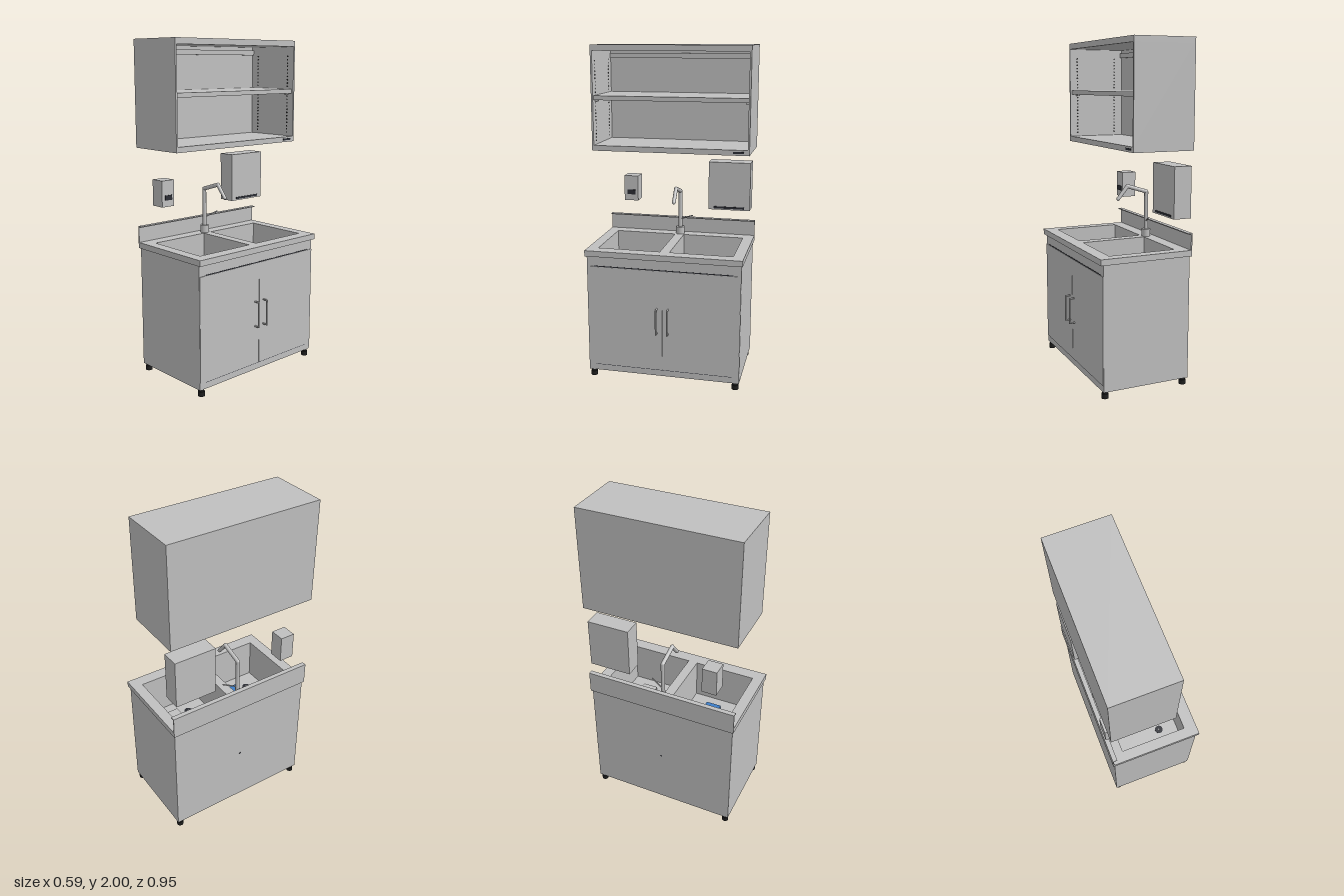
import * as THREE from 'three';

const mat = (name, color, side = THREE.FrontSide) => {
  const m = new THREE.MeshStandardMaterial({ color, side });
  m.name = name;
  return m;
};

export function createModel() {
  const steel = mat('light grey', 0xc0c0c0);
  const dark = mat('charcoal', 0x2a2c33);
  const black = mat('black', 0x1e1e1e);
  const blue = mat('blue', 0x3c7cc6);

  const root = new THREE.Group();
  const group = (name) => {
    const g = new THREE.Group();
    g.name = name;
    root.add(g);
    return g;
  };
  const add = (parent, name, geo, material) => {
    const m = new THREE.Mesh(geo, material);
    m.name = name;
    parent.add(m);
    return m;
  };
  // box given by its limits on each axis
  const box = (parent, name, x0, x1, y0, y1, z0, z1, material = steel) => {
    const m = add(parent, name, new THREE.BoxGeometry(x1 - x0, y1 - y0, z1 - z0), material);
    m.position.set((x0 + x1) / 2, (y0 + y1) / 2, (z0 + z1) / 2);
    return m;
  };
  const cylinder = (parent, name, r, h, x, y, z, material = steel, sides = 24) => {
    const m = add(parent, name, new THREE.CylinderGeometry(r, r, h, sides), material);
    m.position.set(x, y, z);
    return m;
  };
  // straight round bar between two points, with round ends
  const rod = (parent, name, a, b, r) => {
    const p = new THREE.Vector3(...a), q = new THREE.Vector3(...b);
    const d = q.clone().sub(p);
    const m = add(parent, name, new THREE.CapsuleGeometry(r, d.length(), 4, 14), steel);
    m.position.copy(p).add(q).multiplyScalar(0.5);
    m.quaternion.setFromUnitVectors(new THREE.Vector3(0, 1, 0), d.normalize());
    return m;
  };

  // ---- wall cabinet, open towards +x ----
  const wall = group('wallCabinet');
  box(wall, 'cabinetTop', -0.296, 0.08, 1.965, 2, -0.473, 0.473);
  box(wall, 'cabinetBottom', -0.296, 0.08, 1.38, 1.412, -0.473, 0.473);
  box(wall, 'cabinetBack', -0.296, -0.284, 1.412, 1.965, -0.473, 0.473);
  box(wall, 'hangingRail', -0.284, -0.272, 1.915, 1.945, -0.462, 0.462);
  box(wall, 'shelf', -0.284, 0.07, 1.68, 1.706, -0.46, 0.46);
  box(wall, 'badge', 0.08, 0.083, 1.391, 1.402, -0.44, -0.377, dark);
  for (const s of [-1, 1]) {
    const side = box(wall, 'cabinetSide', -0.284, 0.08, 1.412, 1.965, -0.0055, 0.0055);
    side.position.z = s * 0.4675;
    for (const x of [-0.23, 0.03]) {
      const support = box(wall, 'shelfSupport', x - 0.01, x + 0.01, 1.67, 1.68, -0.01, 0.01);
      support.position.z = s * 0.452;
      for (let i = 0; i < 24; i++) {
        const hole = cylinder(wall, 'pegHole', 0.005, 0.002, x, 1.435 + i * 0.0205, s * 0.4615, black, 8);
        hole.rotation.x = Math.PI / 2;
      }
    }
  }

  // ---- dispensers on the wall ----
  const soap = group('soapDispenser');
  box(soap, 'soapBody', -0.296, -0.205, 1.02, 1.18, 0.27, 0.36);
  box(soap, 'soapWindow', -0.205, -0.2, 1.06, 1.09, 0.288, 0.34, dark);
  const towel = group('towelDispenser');
  box(towel, 'towelBody', -0.296, -0.187, 0.992, 1.292, -0.451, -0.191);
  box(towel, 'towelSlot', -0.187, -0.184, 1.0, 1.013, -0.415, -0.225, dark);

  // ---- worktop with two sink openings ----
  const top = group('worktop');
  const rect = (T, x0, x1, z0, z1) => {
    const p = new T();
    p.moveTo(x0, z0);
    p.lineTo(x1, z0);
    p.lineTo(x1, z1);
    p.lineTo(x0, z1);
    p.closePath();
    return p;
  };
  const sinkX = [-0.212, 0.196];
  const sinks = [[-0.409, -0.029], [0.029, 0.409]];
  const outline = rect(THREE.Shape, -0.296, 0.272, -0.473, 0.473);
  outline.holes = sinks.map(([a, b]) => rect(THREE.Path, ...sinkX, a, b));
  const slab = new THREE.ExtrudeGeometry(outline, { depth: 0.035, bevelEnabled: false });
  slab.rotateX(Math.PI / 2);
  add(top, 'counter', slab, steel).position.y = 0.81;
  box(top, 'backsplash', -0.296, -0.289, 0.81, 0.91, -0.473, 0.473);
  box(top, 'backsplashLip', -0.289, -0.268, 0.904, 0.91, -0.473, 0.473);

  // ---- sink bowls ----
  const floorY = 0.56;
  sinks.forEach(([a, b], i) => {
    const g = group(i ? 'leftSink' : 'rightSink');
    const [x0, x1] = sinkX, t = 0.006;
    box(g, 'bowlFloor', x0 - t, x1 + t, floorY - t, floorY, a - t, b + t);
    box(g, 'bowlBack', x0 - t, x0, floorY, 0.776, a - t, b + t);
    box(g, 'bowlFront', x1, x1 + t, floorY, 0.776, a - t, b + t);
    box(g, 'bowlSide', x0, x1, floorY, 0.776, a - t, a);
    box(g, 'bowlSide', x0, x1, floorY, 0.776, b, b + t);
    const drainZ = i ? 0.301 : -0.154;
    cylinder(g, 'drain', 0.025, 0.004, 0.081, floorY + 0.002, drainZ, dark, 32);
    cylinder(g, 'drainScrew', 0.004, 0.002, 0.081, floorY + 0.005, drainZ, steel, 12);
    const spongeZ = i ? 0.188 : -0.266;
    box(g, 'sponge', 0.05, 0.11, floorY, floorY + 0.03, spongeZ - 0.047, spongeZ + 0.047, i ? blue : steel);
  });

  // ---- tap ----
  const tap = group('tap');
  cylinder(tap, 'tapBase', 0.027, 0.046, -0.24, 0.833, 0);
  rod(tap, 'tapColumn', [-0.24, 0.85, 0], [-0.24, 1.09, 0], 0.0125);
  rod(tap, 'spoutArm', [-0.24, 1.09, 0], [-0.11, 1.13, 0], 0.0125);
  rod(tap, 'spoutEnd', [-0.11, 1.13, 0], [-0.048, 1.055, 0], 0.0115);
  rod(tap, 'tapLever', [-0.237, 0.91, -0.01], [-0.212, 0.938, -0.083], 0.004);

  // ---- base cabinet, with a recessed floor ----
  const base = group('baseCabinet');
  const y0 = 0.042, y1 = 0.775;
  box(base, 'basePanelBack', -0.285, -0.273, y0, y1, -0.465, 0.465);
  box(base, 'basePanelFront', 0.241, 0.253, y0, y1, -0.465, 0.465);
  for (const [a, b] of [[-0.465, -0.453], [0.453, 0.465]]) {
    box(base, 'basePanelSide', -0.273, 0.241, y0, y1, a, b);
  }
  box(base, 'baseFloor', -0.273, 0.241, 0.13, 0.142, -0.453, 0.453);
  const outlet = cylinder(base, 'backOutlet', 0.006, 0.002, -0.2855, 0.4, 0, dark, 12);
  outlet.rotation.z = Math.PI / 2;

  // doors with slim gaps around them, and U-shaped handles
  const gapX = 0.2535;
  box(base, 'doorGapTop', gapX - 0.001, gapX + 0.001, 0.708, 0.715, -0.42, 0.42, dark);
  box(base, 'doorGapBottom', gapX - 0.001, gapX + 0.001, 0.079, 0.085, -0.42, 0.42, dark);
  for (const s of [-1, 1]) {
    const door = box(base, 'door', 0.253, 0.257, 0.083, 0.71, -0.231, 0.231);
    door.position.z = s * 0.2325;
    const z = s * 0.034;
    rod(base, 'handleBar', [0.288, 0.321, z], [0.288, 0.474, z], 0.005);
    for (const y of [0.321, 0.474]) {
      rod(base, 'handleArm', [0.257, y, z], [0.288, y, z], 0.005);
    }
  }

  // feet and the corner blocks that carry them
  for (const x of [-0.263, 0.235]) {
    for (const z of [-0.44, 0.44]) {
      box(base, 'footBlock', x - 0.018, x + 0.018, y0, 0.13, z - 0.018, z + 0.018);
      cylinder(base, 'footStem', 0.016, 0.018, x, 0.034, z, black);
      cylinder(base, 'footPad', 0.02, 0.028, x, 0.014, z, black);
    }
  }
  return root;
}
